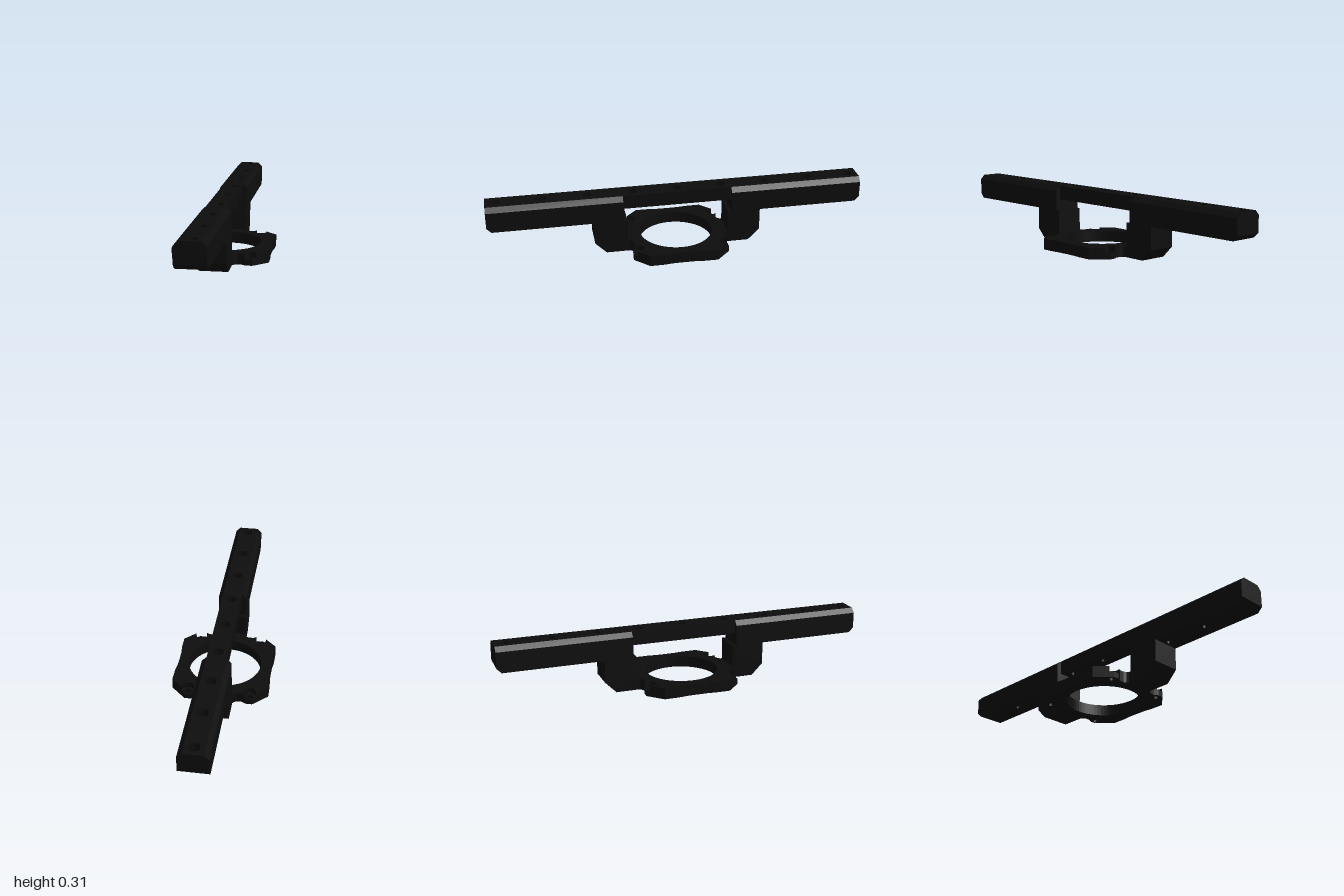
import * as THREE from 'three';

const black = new THREE.MeshStandardMaterial({ color: 0x0d0d0d });
black.name = 'matteBlack';

const W = 0.076;      // half width of the bar
const N = 0.052;      // half width of its top face
const GAP = 0.29;     // half length of the opening under the bar
const PITCH = 0.237;  // spacing of the screw holes

function add(group, name, geometry) {
  const mesh = new THREE.Mesh(geometry, black);
  mesh.name = name;
  group.add(mesh);
  return mesh;
}

function circle(x, y, r) {
  const p = new THREE.Path();
  p.absarc(x, y, r, 0, Math.PI * 2, true);
  return p;
}

// Extrude a plan outline (x, -z) upward from y0 to y1
function slab(shape, y0, y1) {
  const g = new THREE.ExtrudeGeometry(shape, { depth: y1 - y0, bevelEnabled: false, curveSegments: 32 });
  return g.rotateX(-Math.PI / 2).translate(0, y0, 0);
}

function rect(x0, x1, a, b, holes = []) {
  const s = new THREE.Shape([[x0, a], [x1, a], [x1, b], [x0, b]].map(p => new THREE.Vector2(...p)));
  s.holes = holes;
  return s;
}

// Bevel the lower edge at the tips of the bar
function bevelTip(g) {
  const p = g.attributes.position;
  for (let i = 0; i < p.count; i++) {
    if (p.getY(i) < 0.181 && Math.abs(p.getZ(i)) > 0.999) p.setZ(i, Math.sign(p.getZ(i)) * 0.975);
  }
  g.computeVertexNormals();
  return g;
}

// Outline of the ring plate, mirrored from one quadrant
function plateOutline(notched) {
  const q = [[0.25, 0], [0.251, 0.06], [0.256, 0.1], [0.257, 0.18]];
  if (notched) {
    for (let i = 0; i <= 16; i++) {
      const a = 0.26 - (i / 16) * (0.26 + Math.PI * 2 - 2.41);
      q.push([0.165 + 0.033 * Math.cos(a), 0.23 + 0.033 * Math.sin(a)]);
    }
  } else {
    q.push([0.197, 0.2386], [0.18, 0.255], [0.15, 0.255], [0.14, 0.252]);
  }
  q.push([0.125, 0.242], [0.1, 0.242], [0.085, 0.249], [W, 0.26]);
  const half = [...q, ...q.slice(1).reverse().map(([x, y]) => [-x, y])];
  const all = [...half, [-0.25, 0], ...half.slice(1).reverse().map(([x, y]) => [x, -y])];
  const shape = new THREE.Shape(all.map(p => new THREE.Vector2(...p)));
  shape.holes.push(circle(0, 0, 0.195));
  return shape;
}

export function createModel() {
  const model = new THREE.Group();
  model.name = 'barWithRingMount';

  // Bar core with counterbored screw holes
  const bar = new THREE.Group();
  bar.name = 'bar';
  model.add(bar);
  const all = [-4, -3, -2, -1, 0, 1, 2, 3, 4].map(i => i * PITCH);
  const through = all.filter(z => Math.abs(z) < 0.9);
  add(bar, 'topStrip', slab(rect(-N, N, -1, 1, all.map(z => circle(0, z, 0.028))), 0.265, 0.315));
  add(bar, 'middleStrip', slab(rect(-N, N, -1, 1, through.map(z => circle(0, z, 0.015))), 0.24, 0.265));

  for (const s of [-1, 1]) {
    const a = s > 0 ? GAP : -1, b = s > 0 ? 1 : -GAP;
    const holes = () => [2, 3].map(i => circle(0, s * i * PITCH, 0.015));
    add(bar, 'lowerStrip', slab(rect(-N, N, a, b, holes()), 0.205, 0.24));
    add(bar, 'bottomStrip', bevelTip(slab(rect(-W, W, a, b, holes()), 0.18, 0.205)));

    // Sloped side rails on both arms
    for (const m of [-1, 1]) {
      const pts = [[N, 0.205], [W, 0.205], [W, 0.291], [N, 0.315]];
      const side = new THREE.Shape(pts.map(([x, y]) => new THREE.Vector2(m * x, y)));
      const g = new THREE.ExtrudeGeometry(side, { depth: 1 - GAP, bevelEnabled: false });
      add(bar, 'sideRail', g.translate(0, 0, s > 0 ? GAP : -1));
    }

    // Leg from the bar down to the ring
    const profile = [[0.25, 0], [0.385, 0], [0.445, 0.06], [0.445, 0.18], [0.27, 0.18], [0.27, 0.06], [0.25, 0.06]];
    const leg = new THREE.ExtrudeGeometry(
      new THREE.Shape(profile.map(p => new THREE.Vector2(...p))), { depth: 2 * W, bevelEnabled: false });
    leg.rotateY(-Math.PI / 2).translate(W, 0, 0);
    if (s < 0) leg.rotateY(Math.PI);
    add(model, s > 0 ? 'frontLeg' : 'backLeg', leg);
  }

  // Ring plate: drilled lower layer, upper layer with screw head pockets
  const ring = new THREE.Group();
  ring.name = 'ringPlate';
  model.add(ring);
  const lower = plateOutline(false);
  for (const x of [-0.165, 0.165]) for (const z of [-0.23, 0.23]) lower.holes.push(circle(x, z, 0.017));
  add(ring, 'ringLower', slab(lower, 0, 0.03));
  add(ring, 'ringUpper', slab(plateOutline(true), 0.03, 0.06));

  return model;
}
